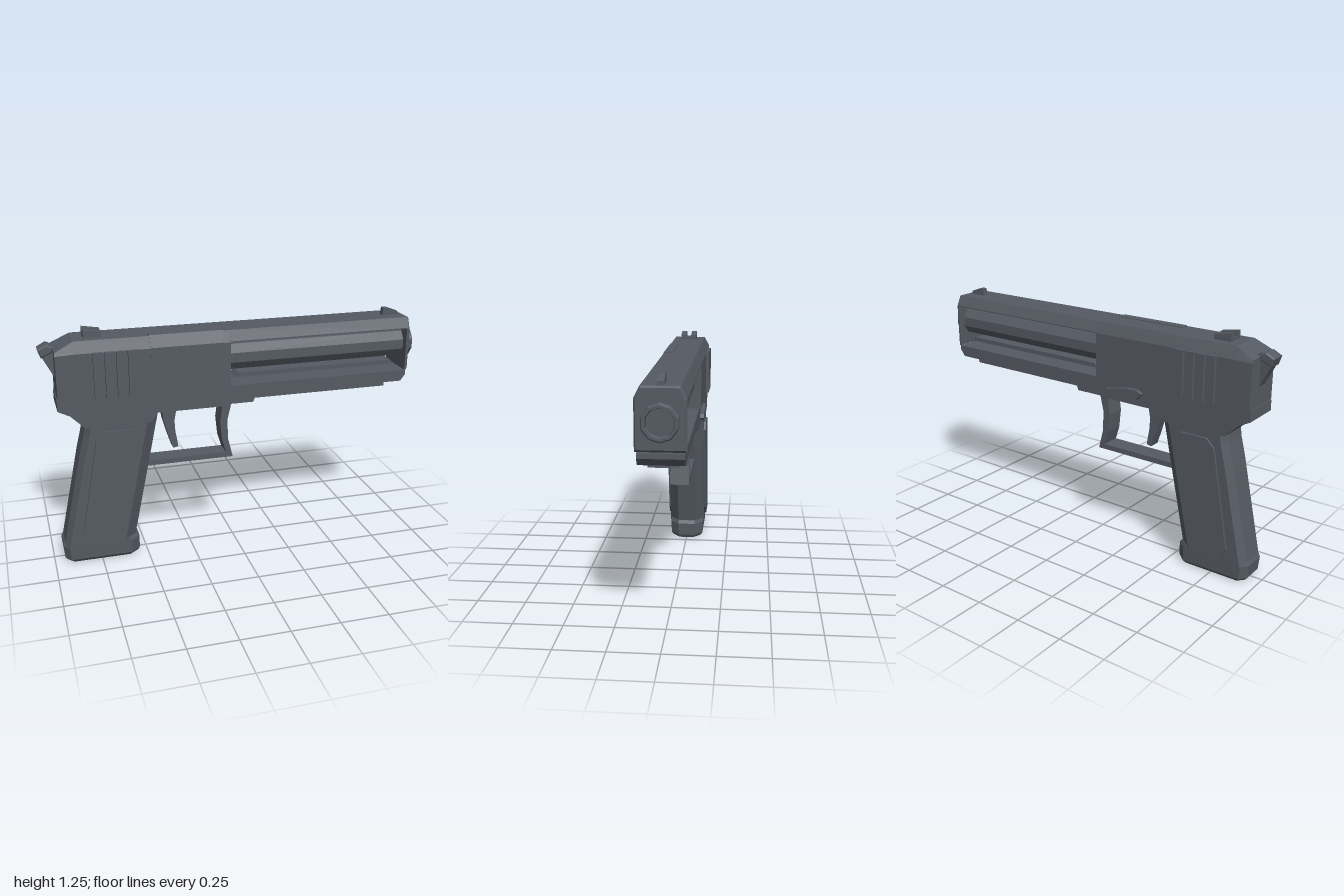
import * as THREE from 'three';

const gunmetal = new THREE.MeshStandardMaterial({ color: 0x555b63, flatShading: true });
gunmetal.name = 'gunmetal';

// Skin a series of convex rings (counter-clockwise seen from the direction of travel) and cap the ends
function loft(rings) {
  const pos = [];
  const tri = (a, b, c) => pos.push(...a, ...b, ...c);
  const n = rings[0].length;
  for (let i = 0; i < rings.length - 1; i++) {
    for (let j = 0; j < n; j++) {
      const k = (j + 1) % n, a = rings[i], b = rings[i + 1];
      tri(a[j], a[k], b[k]);
      tri(a[j], b[k], b[j]);
    }
  }
  const first = rings[0], last = rings[rings.length - 1];
  for (let j = 1; j < n - 1; j++) {
    tri(first[0], first[j + 1], first[j]);
    tri(last[0], last[j], last[j + 1]);
  }
  const g = new THREE.BufferGeometry();
  g.setAttribute('position', new THREE.Float32BufferAttribute(pos, 3));
  g.computeVertexNormals();
  return g;
}

// Side outline extruded from z0 to z1, with an optional bevel inside those limits
function plate(points, z0, z1, bevel = 0) {
  const shape = new THREE.Shape(points.map(([x, y]) => new THREE.Vector2(x, y)));
  const g = new THREE.ExtrudeGeometry(shape, {
    depth: z1 - z0 - 2 * bevel, bevelEnabled: bevel > 0, bevelThickness: bevel,
    bevelSize: bevel, bevelOffset: -bevel, bevelSegments: 1,
  });
  return g.translate(0, 0, z0 + bevel);
}

function box(x0, x1, y0, y1, z0, z1) {
  return new THREE.BoxGeometry(x1 - x0, y1 - y0, z1 - z0)
    .translate((x0 + x1) / 2, (y0 + y1) / 2, (z0 + z1) / 2);
}

// Slide cross-section with chamfered top corners
const slideRing = (x, bottom, shoulder, top, half, topHalf) => [
  [x, top, -topHalf], [x, top, topHalf], [x, shoulder, half],
  [x, bottom, half], [x, bottom, -half], [x, shoulder, -half],
];

// Eight-sided grip cross-section: wide chamfers in front, narrow ones behind
const gripRing = (y, back, front, half, frontCut, backCut) => [
  [back + backCut, y, half], [front - frontCut, y, half],
  [front, y, half * 0.5], [front, y, -half * 0.5],
  [front - frontCut, y, -half], [back + backCut, y, -half],
  [back, y, -half * 0.6], [back, y, half * 0.6],
];

export function createModel() {
  const model = new THREE.Group();
  const add = (name, geometry) => {
    const mesh = new THREE.Mesh(geometry, gunmetal);
    mesh.name = name;
    model.add(mesh);
    return mesh;
  };

  // Slide: solid rear, thin roof with open sides, front plate
  add('slideRear', loft([
    slideRing(-0.925, 0.92, 1.15, 1.165, 0.112, 0.104),
    slideRing(-0.83, 0.92, 1.155, 1.213, 0.115, 0.088),
    slideRing(-0.04, 0.92, 1.155, 1.213, 0.115, 0.088),
  ]));
  add('slideRoof', loft([
    slideRing(-0.04, 1.153, 1.16, 1.213, 0.115, 0.088),
    slideRing(0.955, 1.153, 1.16, 1.213, 0.115, 0.088),
  ]));
  add('slideFrontPlate', loft([
    slideRing(0.945, 0.925, 1.155, 1.213, 0.115, 0.088),
    slideRing(0.955, 0.925, 1.155, 1.213, 0.115, 0.088),
    slideRing(0.963, 0.935, 1.15, 1.205, 0.108, 0.083),
  ]));

  // Grip ribs on both sides of the slide
  for (const side of [-1, 1]) {
    for (let i = 0; i < 4; i++) {
      const x = -0.743 + i * 0.058;
      const z = [side * 0.11, side * 0.132].sort((a, b) => a - b);
      add('slideRib', box(x, x + 0.046, 0.92, 1.157, z[0], z[1]));
    }
  }

  // Ejection port cover wrapping the top corner on the left side
  const coverRing = (x) => [
    [x, 1.217, 0.04], [x, 1.217, 0.089], [x, 1.158, 0.119], [x, 1.075, 0.119],
    [x, 1.075, 0.1], [x, 1.2, 0.04],
  ];
  add('ejectionPort', loft([coverRing(-0.455), coverRing(-0.075)]));

  // Barrel with a hollow muzzle
  const barrelProfile = [
    [0.083, -0.05], [0.083, 0.95], [0.086, 0.955], [0.086, 0.992], [0.08, 1],
    [0.068, 1], [0.064, 0.985], [0.064, 0.8], [0, 0.8],
  ].map(([r, y]) => new THREE.Vector2(r, y));
  const barrel = new THREE.LatheGeometry(barrelProfile, 10, Math.PI / 10);
  add('barrel', barrel.rotateZ(-Math.PI / 2).translate(0, 1.06, 0));

  // Recoil guide under the barrel
  add('recoilGuide', plate([[0, 0.945], [0.91, 0.945], [0.89, 0.968], [0.02, 0.968]], -0.05, 0.05));

  // Frame with rear tang and sloped nose, plus the rail below
  add('frame', plate([
    [-0.93, 0.92], [-0.93, 0.865], [-0.87, 0.835], [-0.8, 0.765], [-0.46, 0.765],
    [-0.42, 0.82], [0.085, 0.82], [0.1, 0.86], [0.93, 0.86], [0.957, 0.895], [0.957, 0.92],
  ], -0.106, 0.106));
  add('accessoryRail', plate([[0.08, 0.828], [0.85, 0.828], [0.85, 0.865], [0.08, 0.865]], -0.07, 0.07));

  // Grip, raised side panels and magazine base
  add('grip', loft([
    gripRing(0.09, -0.945, -0.565, 0.103, 0.06, 0.025),
    gripRing(0.6, -0.835, -0.457, 0.103, 0.06, 0.025),
    gripRing(0.72, -0.805, -0.432, 0.103, 0.06, 0.025),
    gripRing(0.83, -0.79, -0.408, 0.103, 0.06, 0.025),
  ]));
  const panel = [
    [-0.82, 0.125], [-0.68, 0.125], [-0.64, 0.17], [-0.53, 0.69],
    [-0.56, 0.735], [-0.705, 0.735], [-0.75, 0.69], [-0.845, 0.17],
  ];
  add('gripPanelLeft', plate(panel, 0.095, 0.115));
  add('gripPanelRight', plate(panel, -0.115, -0.095));
  add('magazineBase', loft([
    gripRing(0, -0.93, -0.55, 0.083, 0.05, 0.03),
    gripRing(0.018, -0.945, -0.541, 0.096, 0.05, 0.03),
    gripRing(0.09, -0.952, -0.541, 0.098, 0.05, 0.03),
    gripRing(0.108, -0.945, -0.555, 0.098, 0.05, 0.03),
  ]));

  // Trigger guard loop and trigger
  add('triggerGuard', plate([
    [-0.43, 0.825], [-0.43, 0.79], [-0.07, 0.79], [-0.082, 0.7], [-0.072, 0.6], [-0.05, 0.525],
    [-0.5, 0.525], [-0.5, 0.497], [-0.012, 0.497], [-0.038, 0.6], [-0.042, 0.71], [-0.015, 0.825],
  ], -0.052, 0.052));
  add('trigger', plate([
    [-0.39, 0.8], [-0.385, 0.74], [-0.36, 0.65], [-0.335, 0.575], [-0.307, 0.58],
    [-0.322, 0.67], [-0.325, 0.73], [-0.312, 0.8],
  ], -0.03, 0.03));

  // Slide stop lever on the right side
  add('slideStop', plate([
    [-0.33, 0.885], [-0.3, 0.9], [-0.24, 0.9], [-0.11, 0.875], [-0.1, 0.855],
    [-0.14, 0.84], [-0.22, 0.85], [-0.3, 0.85],
  ], -0.128, -0.1));

  // Notched rear sight and front blade
  const rearSight = [[-0.775, 1.205], [-0.685, 1.205], [-0.685, 1.24], [-0.775, 1.255]];
  add('rearSightLeft', plate(rearSight, 0.014, 0.045));
  add('rearSightRight', plate(rearSight, -0.045, -0.014));
  add('rearSightBase', box(-0.775, -0.685, 1.205, 1.228, -0.02, 0.02));
  add('frontSight', plate([[0.84, 1.205], [0.93, 1.205], [0.93, 1.23], [0.87, 1.252], [0.845, 1.252]], -0.015, 0.015));

  // Hammer arm with a wider thumb spur
  add('hammerArm', plate([
    [-0.9, 1.0], [-0.9, 1.17], [-0.93, 1.185], [-0.965, 1.165], [-0.985, 1.135], [-0.925, 1.02],
  ], -0.03, 0.03));
  add('hammerSpur', plate([
    [-0.985, 1.125], [-0.93, 1.15], [-0.92, 1.175], [-0.955, 1.192], [-1, 1.168],
  ], -0.042, 0.042, 0.006));

  return model;
}
